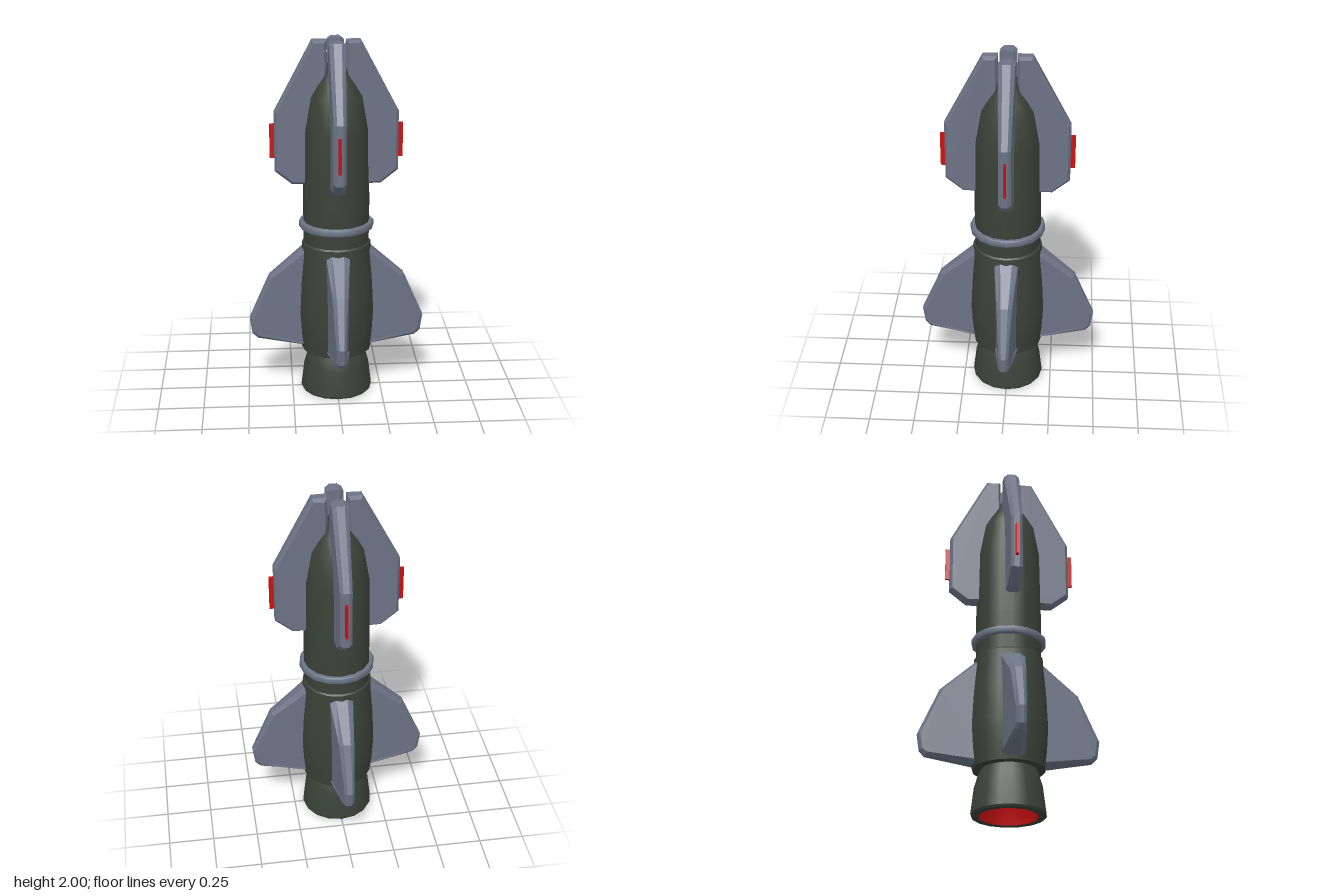
import * as THREE from 'three';

const paint = (name, color) => {
  const m = new THREE.MeshStandardMaterial({ color });
  m.name = name;
  return m;
};

export function createModel() {
  const green = paint('dark green', 0x3a4237);
  const grey = paint('slate grey', 0x6c7385);
  const red = paint('signal red', 0xcc1010);
  const root = new THREE.Group();
  root.name = 'rocket';

  // Turned part: each profile is smooth, edges between profiles stay sharp.
  const turned = (name, material, ...profiles) => {
    const part = new THREE.Group();
    part.name = name;
    profiles.forEach((profile, i) => {
      const points = profile.map(([r, y]) => new THREE.Vector2(r, y));
      const mesh = new THREE.Mesh(new THREE.LatheGeometry(points, 16), material);
      mesh.name = name + 'Surface' + (i + 1);
      part.add(mesh);
    });
    root.add(part);
  };

  turned('warhead', green,
    [[0.18, 0.87], [0.182, 1.1], [0.176, 1.52], [0.145, 1.7], [0.095, 1.79], [0.045, 1.88]],
    [[0.045, 1.88], [0, 1.89]]);
  turned('collar', grey,
    [[0.18, 0.965], [0.198, 0.965]],
    [[0.198, 0.965], [0.206, 0.973], [0.206, 0.997], [0.198, 1.005]],
    [[0.198, 1.005], [0.18, 1.005]]);
  turned('lowerBody', green,
    [[0.14, 0.25], [0.195, 0.25]],
    [[0.195, 0.25], [0.207, 0.35], [0.215, 0.48], [0.207, 0.66], [0.192, 0.84], [0.19, 0.878]],
    [[0.19, 0.878], [0.183, 0.886]],
    [[0.183, 0.886], [0.17, 0.886]]);
  turned('nozzle', green,
    [[0.157, 0], [0.195, 0]],
    [[0.195, 0], [0.2, 0.01]],
    [[0.2, 0.01], [0.183, 0.15], [0.165, 0.21], [0.145, 0.26]]);
  turned('nozzleLining', red,
    [[0, 0.16], [0.09, 0.16]],
    [[0.09, 0.16], [0.135, 0.09], [0.157, 0]]);
  turned('nozzleHub', green,
    [[0, 0.06], [0.022, 0.065]],
    [[0.022, 0.065], [0.05, 0.11], [0.05, 0.16]]);

  // Bevelled plate in the radius/height plane, thinning from rIn to rOut.
  const finGeometry = (outline, bevel, [rIn, tIn], [rOut, tOut]) => {
    const shape = new THREE.Shape(outline.map(([r, y]) => new THREE.Vector2(r, y)));
    const geo = new THREE.ExtrudeGeometry(shape, {
      depth: 1, bevelEnabled: true, bevelSegments: 1,
      bevelThickness: 0.5, bevelSize: bevel, bevelOffset: -bevel,
    });
    geo.translate(0, 0, -0.5);
    const p = geo.attributes.position;
    for (let i = 0; i < p.count; i++) {
      const k = THREE.MathUtils.clamp((p.getX(i) - rIn) / (rOut - rIn), 0, 1);
      p.setZ(i, p.getZ(i) * THREE.MathUtils.lerp(tIn, tOut, k));
    }
    geo.computeVertexNormals();
    return geo;
  };

  const upperFin = finGeometry(
    [[0.05, 1.215], [0.24, 1.215], [0.335, 1.29], [0.335, 1.615], [0.13, 2], [0.052, 2], [0.05, 1.85]],
    0.014, [0.05, 0.047], [0.335, 0.032]);
  const lowerFin = finGeometry(
    [[0.1, 0.255], [0.19, 0.27], [0.445, 0.31], [0.475, 0.34], [0.488, 0.43],
      [0.375, 0.685], [0.185, 0.85], [0.1, 0.85]],
    0.017, [0.19, 0.064], [0.488, 0.025]);

  // Four identical quarters: steering fin with its light, and tail fin.
  const lightGeometry = new THREE.BoxGeometry(0.05, 0.19, 0.02);
  const lp = lightGeometry.attributes.position;
  for (let i = 0; i < lp.count; i++) if (lp.getX(i) > 0) lp.setZ(i, lp.getZ(i) * 0.6);
  lightGeometry.computeVertexNormals();
  for (let i = 0; i < 4; i++) {
    const quarter = new THREE.Group();
    quarter.name = 'finSet' + (i + 1);
    const upper = new THREE.Mesh(upperFin, grey);
    upper.name = 'upperFin';
    const lower = new THREE.Mesh(lowerFin, grey);
    lower.name = 'tailFin';
    const light = new THREE.Mesh(lightGeometry, red);
    light.name = 'finLight';
    light.position.set(0.335, 1.455, 0);
    quarter.add(upper, lower, light);
    quarter.rotation.y = i * Math.PI / 2;
    root.add(quarter);
  }
  return root;
}
